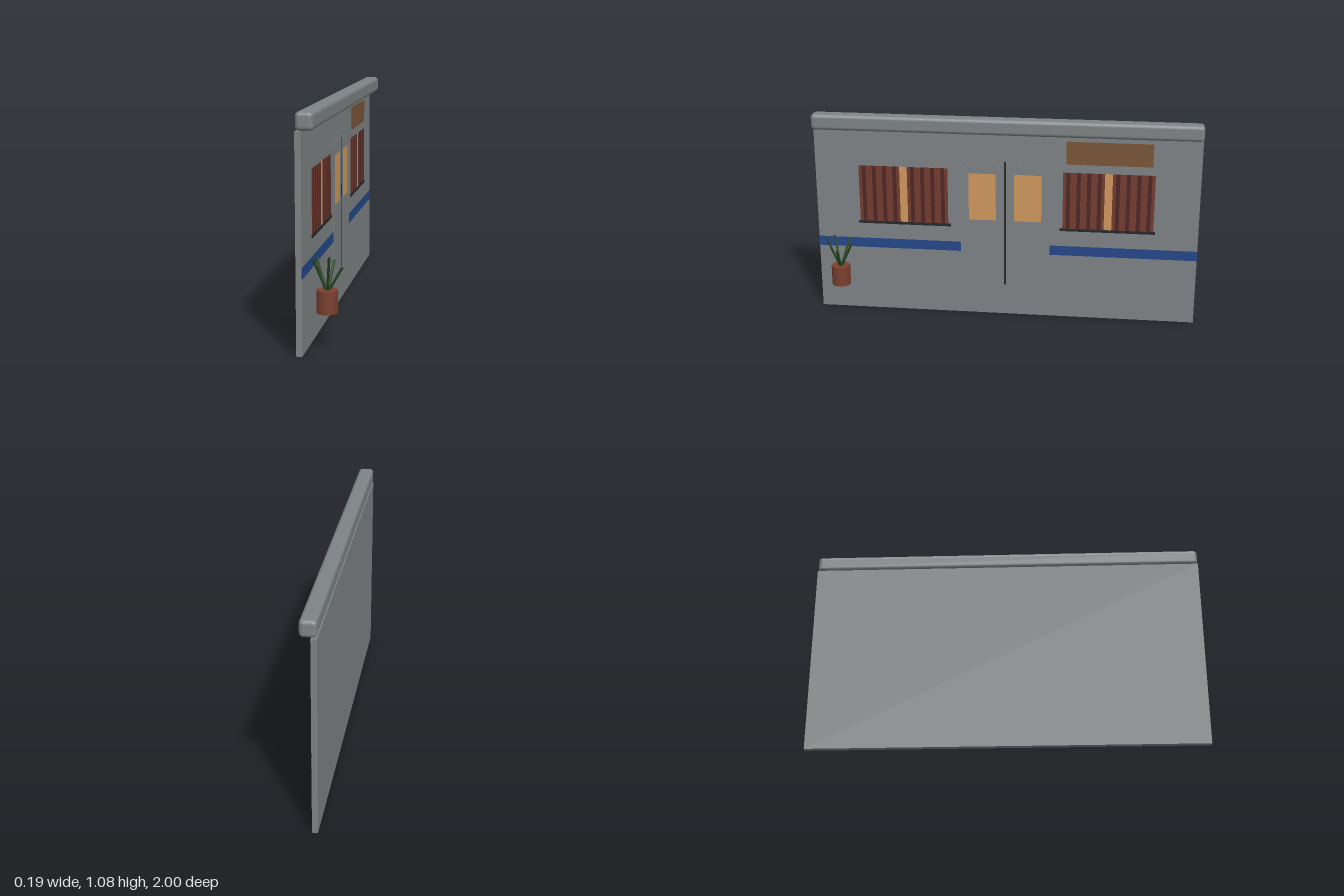
import * as THREE from 'three';
import { RoundedBoxGeometry } from 'three/addons/geometries/RoundedBoxGeometry.js';

const material = (name, color) => {
  const m = new THREE.MeshStandardMaterial({ color });
  m.name = name;
  return m;
};

export function createModel() {
  const grey = material('wall grey', 0x7e8385);
  const blue = material('stripe blue', 0x24478a);
  const black = material('trim black', 0x25272a);
  const glow = material('lit window', 0xd0985e);
  const curtain = material('curtain red', 0x743c2f);
  const fold = material('curtain fold', 0x4e2626);
  const wood = material('sign wood', 0x7a5539);
  const clay = material('pot clay', 0x7a3f2f);
  const green = material('leaf green', 0x25441f);

  const model = new THREE.Group();
  const face = -0.07; // outer wall plane, facing +x

  function add(name, geometry, mat, x, y, z, parent = model) {
    const mesh = new THREE.Mesh(geometry, mat);
    mesh.name = name;
    mesh.position.set(x, y, z);
    parent.add(mesh);
    return mesh;
  }

  // Thin plate on the wall, spanning z0..z1 and y0..y1, standing out by "out"
  function plate(name, mat, z0, z1, y0, y1, out, parent = model) {
    const back = face - 0.002;
    const depth = out + 0.002;
    const g = new THREE.BoxGeometry(depth, y1 - y0, Math.abs(z1 - z0));
    return add(name, g, mat, back + depth / 2, (y0 + y1) / 2, (z0 + z1) / 2, parent);
  }

  // Wall and rounded coping
  add('wall', new THREE.BoxGeometry(0.028, 1, 2), grey, -0.084, 0.5, 0);
  add('coping', new RoundedBoxGeometry(0.08, 0.083, 2, 4, 0.02), grey, -0.058, 1.0425, 0);

  // Double door with a dark centre seam
  const door = new THREE.Group();
  door.name = 'door';
  model.add(door);
  plate('doorSeam', black, -0.005, 0.005, 0.17, 0.85, 0.003, door);
  for (const s of [1, -1]) {
    plate('doorLeaf', grey, s * 0.005, s * 0.235, 0.17, 0.85, 0.002, door);
    plate('doorWindow', glow, s * 0.048, s * 0.19, 0.53, 0.783, 0.003, door);
    plate('stripe', blue, s * 0.235, s, 0.35, 0.402, 0.0015);

    // Window: lit gap between two pleated curtains, with a sill
    const win = new THREE.Group();
    win.name = 'window';
    model.add(win);
    plate('litGap', glow, s * 0.514, s * 0.554, 0.5, 0.805, 0.001, win);
    for (const [a, b] of [[0.3, 0.514], [0.554, 0.77]]) {
      plate('curtain', curtain, s * a, s * b, 0.5, 0.805, 0.0015, win);
      const pitch = (b - a) / 4;
      for (let i = 0; i < 4; i++) {
        const c = a + pitch * (i + 0.5);
        plate('curtainFold', fold, s * (c - 0.01), s * (c + 0.01), 0.5, 0.805, 0.0025, win);
      }
    }
    plate('windowSill', black, s * 0.285, s * 0.78, 0.487, 0.501, 0.004, win);
  }

  // Blank wooden sign board
  plate('signBoard', wood, -0.755, -0.315, 0.85, 0.97, 0.005);

  // Potted plant: five stiff leaves fanned around the pot
  const plant = new THREE.Group();
  plant.name = 'pottedPlant';
  plant.position.set(0.018, 0.17, 0.867);
  model.add(plant);
  add('pot', new THREE.CylinderGeometry(0.049, 0.049, 0.105, 24), clay, 0, 0.0525, 0, plant);
  const tipHeights = [0.21, 0.268, 0.253, 0.243, 0.23];
  tipHeights.forEach((h, i) => {
    const a = (i * Math.PI * 2) / 5;
    const root = new THREE.Vector3(0, 0.09, 0);
    const tip = new THREE.Vector3(Math.cos(a) * 0.069, h, Math.sin(a) * 0.069);
    const dir = tip.clone().sub(root);
    const mid = root.clone().add(tip).multiplyScalar(0.5);
    const leaf = add('leaf', new THREE.CylinderGeometry(0.006, 0.006, dir.length(), 8), green, mid.x, mid.y, mid.z, plant);
    leaf.quaternion.setFromUnitVectors(new THREE.Vector3(0, 1, 0), dir.normalize());
  });

  return model;
}
